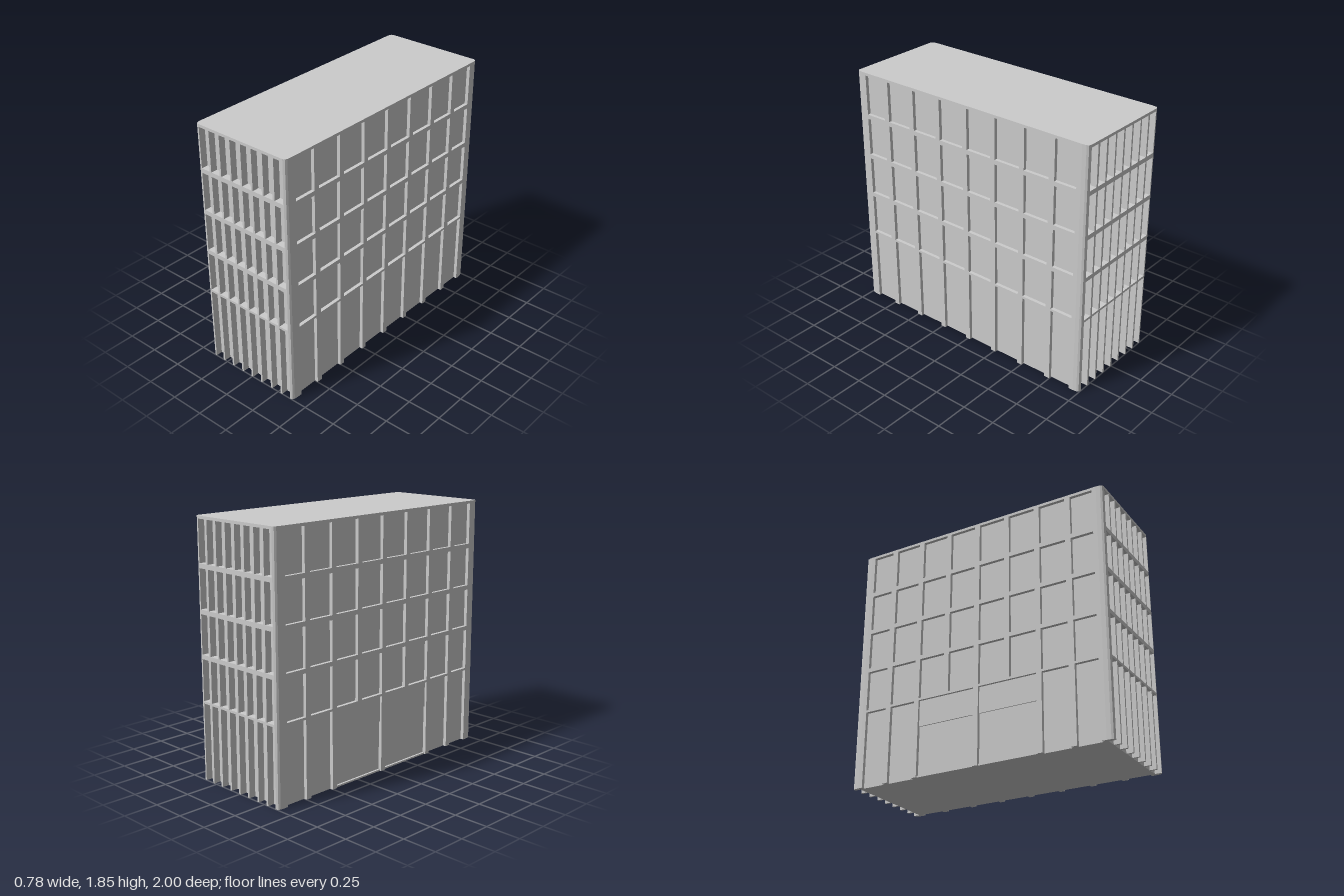
import * as THREE from 'three';

const HEIGHT = 1.85;
const CORE_X = 0.365, CORE_Z = 0.95;       // half sizes of the solid core
const END_DEPTH = 0.05, SIDE_DEPTH = 0.025; // depth of the window reveals
const GROUND_TOP = 0.56;
const FLOORS = [[0.577, 0.875], [0.906, 1.187], [1.22, 1.5], [1.533, 1.83]];

const material = new THREE.MeshStandardMaterial({ color: 0xcccccc, flatShading: true });

// Mirrors a half list of [from, to] bays about zero, sorted from left to right
const mirrorBays = (half) => [
  ...half.map(([a, b]) => [-b, -a]).reverse(),
  ...half,
];
const END_BAYS = mirrorBays([[0.008, 0.085], [0.1, 0.18], [0.195, 0.272], [0.288, 0.36]]);
const SIDE_BAYS = mirrorBays([[0.02, 0.223], [0.262, 0.465], [0.505, 0.705], [0.748, 0.918]]);
const ENTRANCES = mirrorBays([[0.02, 0.465]]);

function addMesh(parent, name, geometry) {
  const mesh = new THREE.Mesh(geometry, material);
  mesh.name = name;
  parent.add(mesh);
  return mesh;
}

function addBox(parent, name, w, h, d, x, y, z) {
  addMesh(parent, name, new THREE.BoxGeometry(w, h, d)).position.set(x, y, z);
}

// Grid of piers and floor bands: windows are holes, ground bays run down to the base
function facadeGeometry(halfWidth, bays, groundBays, depth) {
  const shape = new THREE.Shape();
  shape.moveTo(-halfWidth, 0);
  for (const [a, b] of groundBays) {
    shape.lineTo(a, 0);
    shape.lineTo(a, GROUND_TOP);
    shape.lineTo(b, GROUND_TOP);
    shape.lineTo(b, 0);
  }
  shape.lineTo(halfWidth, 0);
  shape.lineTo(halfWidth, HEIGHT);
  shape.lineTo(-halfWidth, HEIGHT);
  shape.closePath();
  for (const [y0, y1] of FLOORS) {
    for (const [a, b] of bays) {
      const hole = new THREE.Path();
      hole.moveTo(a, y0);
      hole.lineTo(a, y1);
      hole.lineTo(b, y1);
      hole.lineTo(b, y0);
      hole.closePath();
      shape.holes.push(hole);
    }
  }
  return new THREE.ExtrudeGeometry(shape, { depth, bevelEnabled: false });
}

// Softened corner column, centred on the core's edge
function cornerGeometry(sx, sz) {
  const points = [[0, 0], [0.025, 0], [0.022, 0.03], [0.015, 0.044], [0, 0.05]]
    .map(([x, z]) => new THREE.Vector2(sx * (CORE_X + x), -sz * (CORE_Z + z)));
  const geometry = new THREE.ExtrudeGeometry(new THREE.Shape(points), { depth: HEIGHT, bevelEnabled: false });
  return geometry.rotateX(-Math.PI / 2);
}

export function createModel() {
  const building = new THREE.Group();
  building.name = 'building';

  addBox(building, 'coreWithWindowPanels', 2 * CORE_X, HEIGHT, 2 * CORE_Z, 0, HEIGHT / 2, 0);

  // Narrow ends
  for (const [name, s] of [['frontFacade', 1], ['backFacade', -1]]) {
    const end = addMesh(building, name, facadeGeometry(CORE_X, END_BAYS, END_BAYS, END_DEPTH));
    end.rotation.y = s > 0 ? 0 : Math.PI;
    end.position.z = s * CORE_Z;
  }

  // Long side with a regular ground floor
  const left = addMesh(building, 'leftFacade', facadeGeometry(CORE_Z, SIDE_BAYS, SIDE_BAYS, SIDE_DEPTH));
  left.rotation.y = Math.PI / 2;
  left.position.x = CORE_X;

  // Long side with two wide entrances in the middle
  const outer = SIDE_BAYS.filter(([a, b]) => Math.abs(a + b) > 1);
  const groundBays = [...outer, ...ENTRANCES].sort((p, q) => p[0] - q[0]);
  const right = addMesh(building, 'rightFacade', facadeGeometry(CORE_Z, SIDE_BAYS, groundBays, SIDE_DEPTH));
  right.rotation.y = -Math.PI / 2;
  right.position.x = -CORE_X;

  // Entrance transoms and sills
  for (const [a, b] of ENTRANCES) {
    const z = (a + b) / 2;
    addBox(building, 'entranceTransom', 0.008, 0.19, b - a, -CORE_X - 0.004, 0.465, z);
    addBox(building, 'entranceSill', 0.015, 0.012, b - a, -CORE_X - 0.0075, 0.006, z);
  }

  for (const sx of [-1, 1]) {
    for (const sz of [-1, 1]) addMesh(building, 'cornerColumn', cornerGeometry(sx, sz));
  }
  return building;
}
